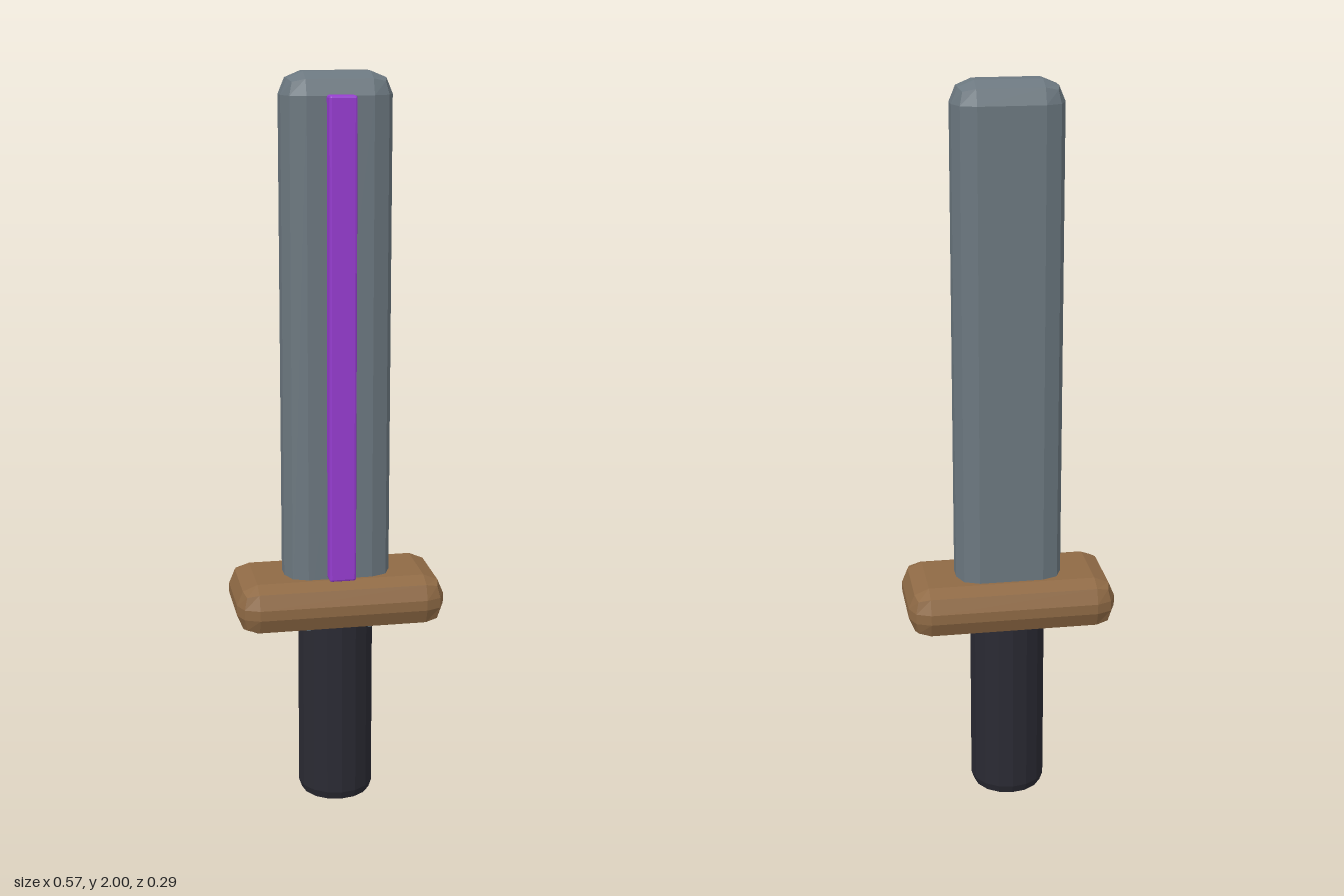
import * as THREE from 'three';
import { RoundedBoxGeometry } from 'three/addons/geometries/RoundedBoxGeometry.js';

function material(name, color) {
  const m = new THREE.MeshStandardMaterial({ color, flatShading: true });
  m.name = name;
  return m;
}

export function createModel() {
  const group = new THREE.Group();
  group.name = 'sword';
  const steel = material('steel grey', 0x6c7880);
  const wood = material('wood brown', 0x8f6a45);
  const wrap = material('dark wrap', 0x2a2a33);
  const glow = material('purple', 0x963cd0);

  // Bevelled box given by its size, bottom height and z centre
  function block(name, mat, [w, h, d], bottom, z, radius) {
    const mesh = new THREE.Mesh(new RoundedBoxGeometry(w, h, d, 1, radius), mat);
    mesh.name = name;
    mesh.position.set(0, bottom + h / 2, z);
    group.add(mesh);
  }

  // Blade runs through the guard and shows a little below it
  block('blade', steel, [0.29, 1.51, 0.162], 0.49, 0, 0.058);
  block('guard', wood, [0.568, 0.14, 0.292], 0.52, 0, 0.056);
  // Raised strip on the front of the blade
  block('bladeStrip', glow, [0.072, 1.28, 0.05], 0.665, 0.097, 0.006);

  // Round grip with bevelled ends
  const profile = [[0, 0], [0.078, 0], [0.096, 0.009], [0.104, 0.032], [0.104, 0.53], [0.09, 0.55], [0, 0.55]]
    .map(([r, y]) => new THREE.Vector2(r, y));
  const grip = new THREE.Mesh(new THREE.LatheGeometry(profile, 16), wrap);
  grip.name = 'grip';
  group.add(grip);

  return group;
}
